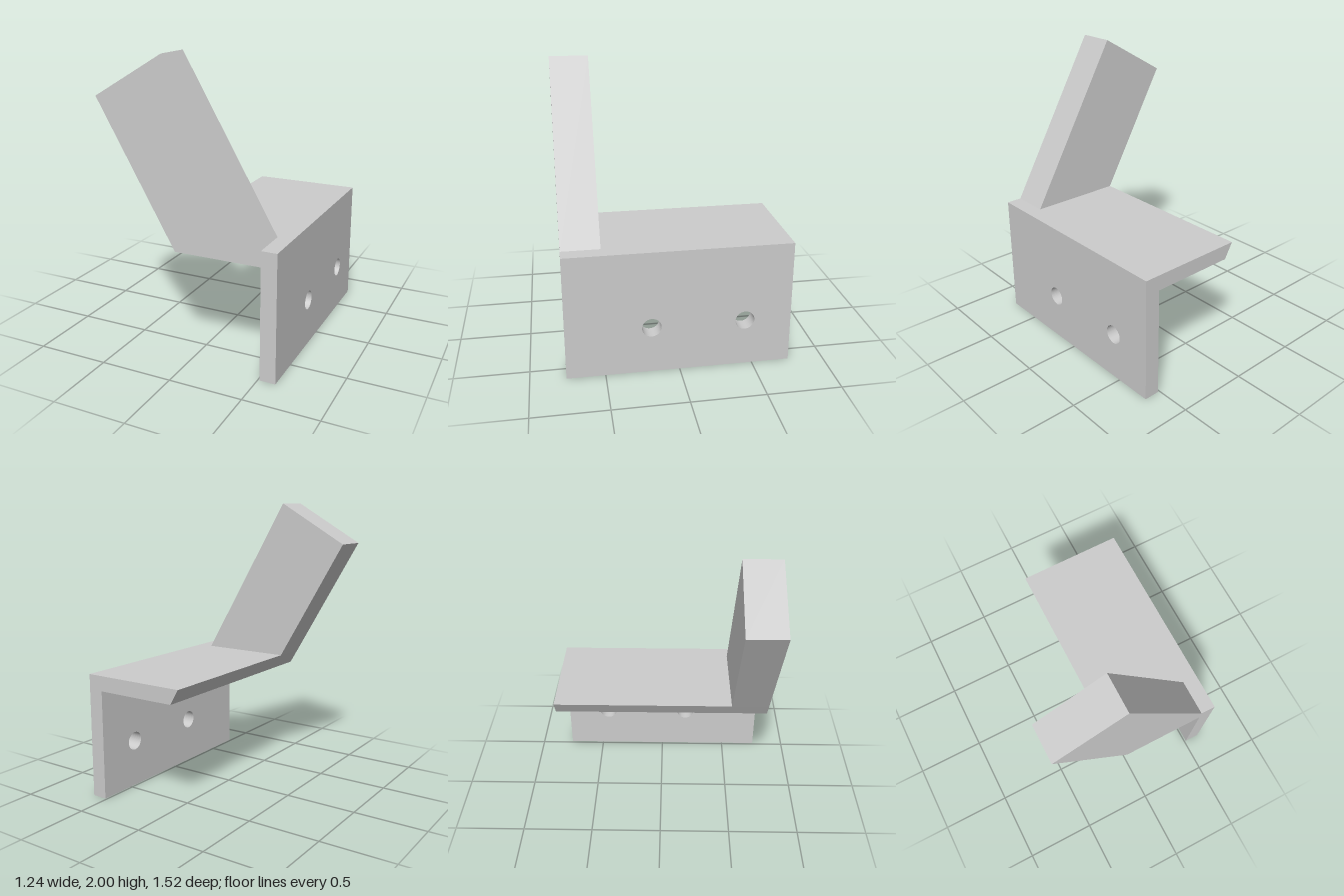
import * as THREE from 'three';

const HALF_DEPTH = 0.76;   // bracket runs from -z to +z
const TOP = 0.87;          // top of the shelf and plate
const UNDER = 0.765;       // underside of the shelf
const INNER = 0.513;       // inner face of the plate
const OUTER = 0.62;        // outer face of the plate
const HOLE_RADIUS = 0.065;

// Straight-edged outline with round bolt holes, extruded along +z.
function plateGeometry(outline, depth, holes = []) {
  const shape = new THREE.Shape(outline.map(([x, y]) => new THREE.Vector2(x, y)));
  for (const [x, y] of holes) {
    const hole = new THREE.Path();
    hole.absarc(x, y, HOLE_RADIUS, 0, Math.PI * 2, true);
    shape.holes.push(hole);
  }
  return new THREE.ExtrudeGeometry(shape, { depth, bevelEnabled: false, curveSegments: 24 });
}

export function createModel() {
  const group = new THREE.Group();
  group.name = 'angleBracket';
  const material = new THREE.MeshStandardMaterial({ color: 0xcccccc });

  const add = (name, geometry) => {
    const mesh = new THREE.Mesh(geometry, material);
    mesh.name = name;
    group.add(mesh);
  };

  // Upright mounting plate, drawn in (-z, y) and turned to extrude along x
  const plate = plateGeometry(
    [[-HALF_DEPTH, 0], [HALF_DEPTH, 0], [HALF_DEPTH, TOP], [-HALF_DEPTH, TOP]],
    OUTER - INNER,
    [[-0.188, 0.33], [0.443, 0.33]]
  );
  plate.rotateY(Math.PI / 2).translate(INNER, 0, 0);
  add('mountingPlate', plate);

  // Horizontal shelf whose free edge is cut on the slope of the arm
  const shelf = plateGeometry(
    [[-0.077, UNDER], [INNER, UNDER], [INNER, TOP], [-0.138, TOP]],
    2 * HALF_DEPTH
  );
  shelf.translate(0, 0, -HALF_DEPTH);
  add('shelf', shelf);

  // Arm leaning 30 degrees from vertical at the front of the shelf
  const armBack = 0.5;
  const arm = plateGeometry(
    [[-0.138, TOP], [INNER, TOP], [-0.138, 2], [-0.624, 1.718]],
    HALF_DEPTH - armBack,
    [[-0.222, 1.584], [-0.061, 1.298]]
  );
  arm.translate(0, 0, armBack);
  add('slantedArm', arm);

  return group;
}
